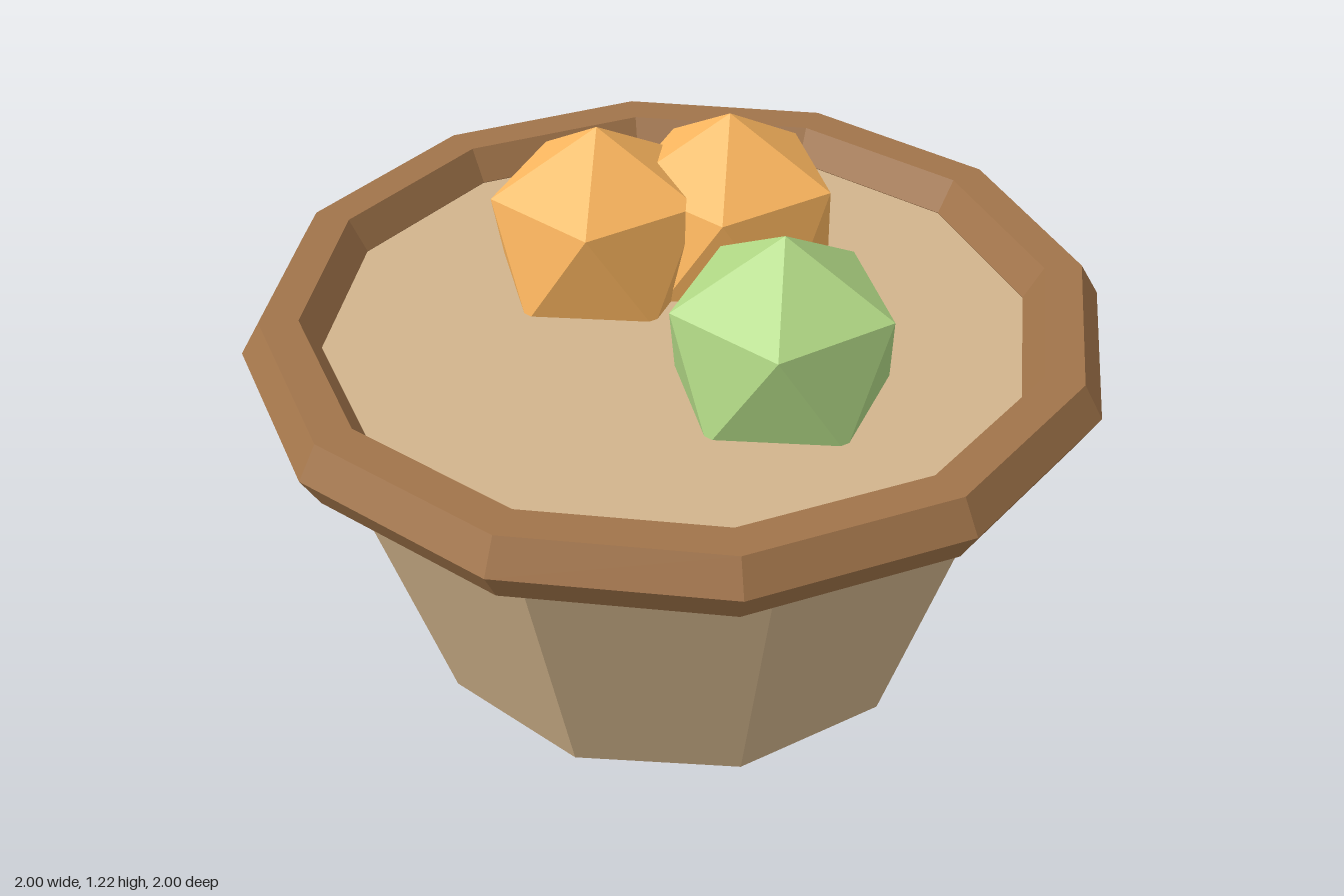
import * as THREE from 'three';

const flat = (color) => new THREE.MeshStandardMaterial({ color, flatShading: true });

function addPart(parent, name, geometry, material, x = 0, y = 0, z = 0) {
  const mesh = new THREE.Mesh(geometry, material);
  mesh.name = name;
  mesh.position.set(x, y, z);
  parent.add(mesh);
  return mesh;
}

export function createModel() {
  const model = new THREE.Group();
  model.name = 'planterTub';

  // Tapered ten-sided tub, its top cap is the filling
  const height = 0.83;
  addPart(model, 'tub', new THREE.CylinderGeometry(0.89, 0.624, height, 10), flat(0xd2b48c), 0, height / 2, 0);

  // Twelve-sided rim with a hexagonal section
  const rim = new THREE.TorusGeometry(0.91, 0.09, 6, 12).rotateX(Math.PI / 2);
  addPart(model, 'rim', rim, flat(0xa1744a), 0, 0.832, 0);

  // Faceted balls half sunk in the filling, each with one corner pointing straight up
  const radius = 0.284;
  const ball = new THREE.IcosahedronGeometry(radius, 0);
  ball.rotateZ(-Math.atan(2 / (1 + Math.sqrt(5))));
  const orange = flat(0xffb860);
  const green = flat(0xb2d986);
  const top = 1.222;
  const balls = [
    ['orangeBallLeft', orange, -0.26, -0.135],
    ['orangeBallBack', orange, 0, -0.315],
    ['greenBall', green, 0.31, 0.153],
  ];
  for (const [name, material, x, z] of balls) addPart(model, name, ball, material, x, top - radius, z);

  return model;
}
